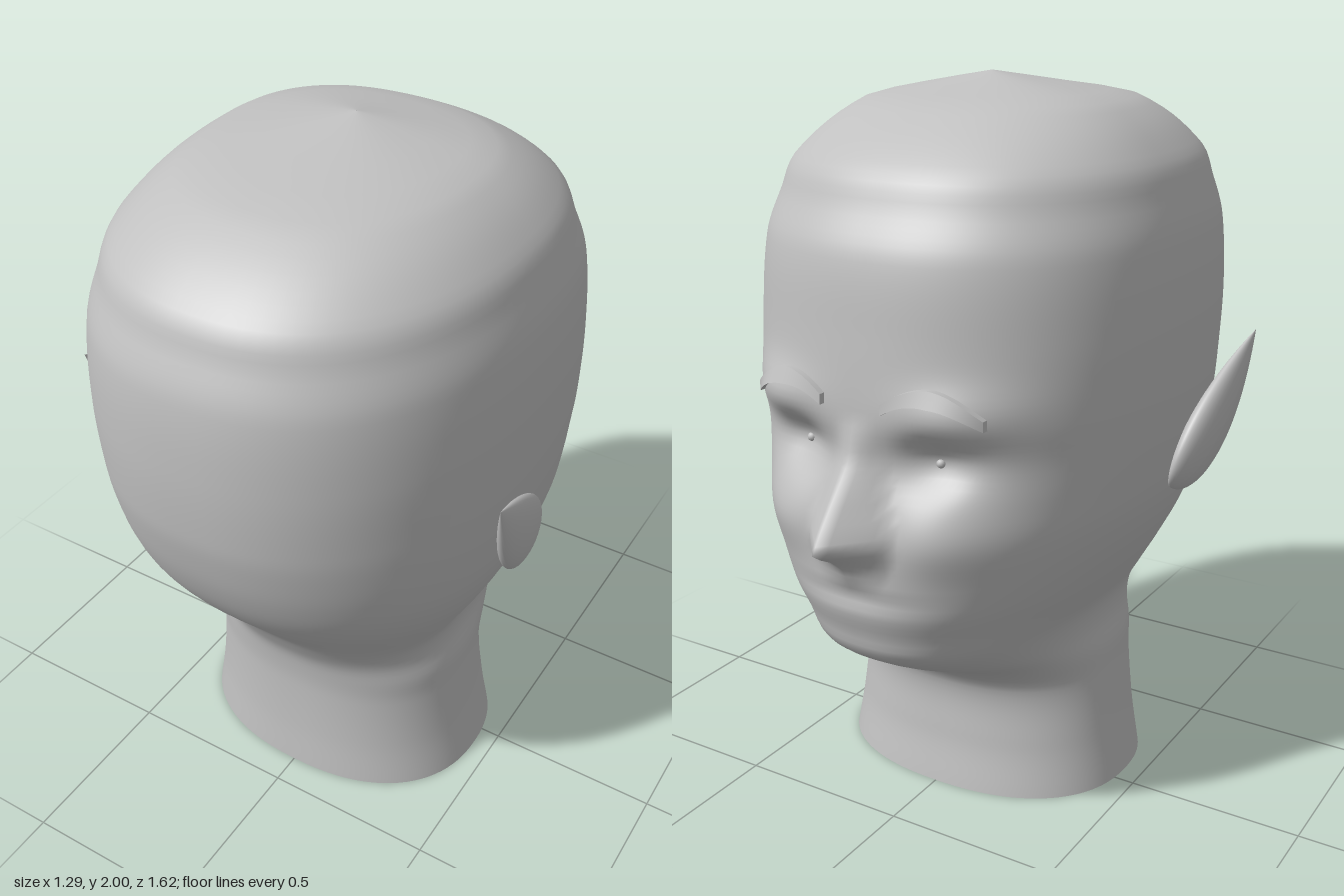
import * as THREE from 'three';

// Head profile rows: y, half width, back z, front z, z of widest point
const ROWS = [
  [0, 0.445, 0.41, -0.285, 0.06], [0.15, 0.42, 0.4, -0.26, 0.06], [0.33, 0.398, 0.398, -0.265, 0.07],
  [0.41, 0.392, 0.405, -0.35, 0.08], [0.48, 0.375, 0.42, -0.5, 0.09], [0.55, 0.38, 0.455, -0.605, 0.09],
  [0.62, 0.415, 0.497, -0.63, 0.09], [0.7, 0.458, 0.56, -0.657, 0.09], [0.8, 0.505, 0.64, -0.66, 0.09],
  [0.9, 0.538, 0.705, -0.655, 0.08], [1.0, 0.556, 0.75, -0.637, 0.07], [1.1, 0.568, 0.78, -0.622, 0.06],
  [1.2, 0.575, 0.8, -0.627, 0.05], [1.4, 0.58, 0.812, -0.612, 0.05], [1.6, 0.566, 0.8, -0.585, 0.05],
  [1.7, 0.54, 0.763, -0.533, 0.05], [1.8, 0.5, 0.71, -0.475, 0.05], [1.93, 0.35, 0.48, -0.26, 0.05],
  [1.965, 0.2, 0.26, -0.11, 0.04], [2, 0.001, 0.031, 0.029, 0.03],
];

// Smooth interpolation of the rows at height y
function profile(y) {
  let i = 0;
  while (i < ROWS.length - 2 && y > ROWS[i + 1][0]) i++;
  const a = ROWS[i], b = ROWS[i + 1], p = ROWS[Math.max(i - 1, 0)], q = ROWS[Math.min(i + 2, ROWS.length - 1)];
  const h = b[0] - a[0], t = (y - a[0]) / h, t2 = t * t, t3 = t2 * t;
  return [1, 2, 3, 4].map((k) => {
    const ma = ((b[k] - p[k]) / (b[0] - p[0])) * h, mb = ((q[k] - a[k]) / (q[0] - a[0])) * h;
    return (2 * t3 - 3 * t2 + 1) * a[k] + (t3 - 2 * t2 + t) * ma + (3 * t2 - 2 * t3) * b[k] + (t3 - t2) * mb;
  });
}

const bump = (x, y, cx, cy, sx, sy) => Math.exp(-(((x - cx) / sx) ** 2) - ((y - cy) / sy) ** 2);

// Nose: height, projection, half width
const NOSE = [[0.76, 0, 0.08], [0.83, 0.035, 0.12], [0.87, 0.09, 0.13], [0.9, 0.155, 0.13],
  [0.95, 0.13, 0.12], [1.0, 0.1, 0.1], [1.1, 0.035, 0.07], [1.2, 0, 0.06]];

function nose(x, y) {
  const i = NOSE.findIndex((n) => n[0] > y);
  if (i < 1) return 0;
  const a = NOSE[i - 1], b = NOSE[i], t = (y - a[0]) / (b[0] - a[0]);
  const f = Math.max(0, 1 - x / THREE.MathUtils.lerp(a[2], b[2], t));
  return THREE.MathUtils.lerp(a[1], b[1], t) * f;
}

// Forward relief of the face
function relief(x, y) {
  const ax = Math.abs(x);
  return nose(ax, y)
    - 0.055 * bump(ax, y, 0.2, 1.1, 0.1, 0.07)
    + 0.035 * bump(ax, y, 0.27, 1.23, 0.13, 0.07)
    + 0.03 * bump(ax, y, 0.24, 0.92, 0.13, 0.1)
    - 0.012 * bump(ax, y, 0, 0.735, 0.16, 0.02);
}

const POWER = 2.3;
function faceZ(x, y) {
  const [w, , zf, c] = profile(y);
  return c + (zf - c) * (1 - (Math.abs(x) / w) ** POWER) ** (1 / POWER) - relief(x, y);
}

// Loft of the head and open neck, with columns packed toward the face
function headGeometry() {
  const cols = 128, heights = [], pos = [], index = [];
  for (let i = 0; i <= 96; i++) heights.push((1.93 * i) / 96);
  heights.push(1.948, 1.965, 1.983, 2);
  for (const y of heights) {
    const [w, zb, zf, c] = profile(y);
    for (let j = 0; j < cols; j++) {
      const a = (j / cols) * Math.PI * 2, th = a - 0.45 * Math.sin(a);
      const s = Math.sin(th), k = Math.cos(th), e = 2 / POWER;
      const x = w * Math.sign(s) * Math.abs(s) ** e, d = Math.abs(k) ** e;
      pos.push(x, y, k > 0 ? c + (zf - c) * d - relief(x, y) * Math.min(1, k * 3) : c + (zb - c) * d);
    }
  }
  for (let i = 0; i < heights.length - 1; i++) {
    for (let j = 0; j < cols; j++) {
      const a = i * cols + j, b = i * cols + ((j + 1) % cols);
      index.push(a, a + cols, b, b, a + cols, b + cols);
    }
  }
  const g = new THREE.BufferGeometry();
  g.setAttribute('position', new THREE.Float32BufferAttribute(pos, 3));
  g.setIndex(index);
  g.computeVertexNormals();
  return g;
}

function reshape(g, rule) {
  const p = g.attributes.position, v = new THREE.Vector3();
  for (let i = 0; i < p.count; i++) {
    rule(v.fromBufferAttribute(p, i));
    p.setXYZ(i, v.x, v.y, v.z);
  }
  g.computeVertexNormals();
  return g;
}

// Pointed ear: a sphere stretched along a slanted spine
function earGeometry(side) {
  return reshape(new THREE.SphereGeometry(1, 32, 32), (v) => {
    const t = THREE.MathUtils.clamp((v.y + 1) / 2, 0, 1), r = Math.sqrt(Math.max(1 - v.y * v.y, 1e-6));
    const width = 0.265 * Math.sqrt(t) * (1 - t), lx = v.x / r, lz = v.z / r;
    v.set(side * (0.545 + 0.09 * t ** 0.6) + width * 0.4 * lx,
      0.91 + 0.38 * t - 0.677 * width * lz,
      0.07 + 0.35 * t + 0.735 * width * lz);
  });
}

// Arched brow plate following the face
function browGeometry(side) {
  return reshape(new THREE.BoxGeometry(1, 1, 1, 20, 1, 1), (v) => {
    const u = v.x * side, x = 0.215 + 0.25 * u;
    const y = 1.285 - 0.2 * u * u - 0.02 * u + v.y * (0.042 - 0.03 * Math.abs(u));
    v.set(side * x, y, faceZ(x, y) - 0.008 + v.z * 0.02);
  });
}

export function createModel() {
  const group = new THREE.Group();
  const grey = new THREE.MeshStandardMaterial({ color: 0xc0c0c0, side: THREE.DoubleSide });
  grey.name = 'plain grey';
  const add = (name, geometry) => {
    const mesh = new THREE.Mesh(geometry, grey);
    mesh.name = name;
    group.add(mesh);
    return mesh;
  };
  add('headAndNeck', headGeometry());
  for (const [label, side] of [['left', 1], ['right', -1]]) {
    add(label + 'Ear', earGeometry(side));
    add(label + 'Eyebrow', browGeometry(side));
    // Small eye bead in the socket
    add(label + 'Eye', new THREE.SphereGeometry(0.012, 12, 8)).position.set(side * 0.2, 1.1, faceZ(0.2, 1.1));
  }
  return group;
}
